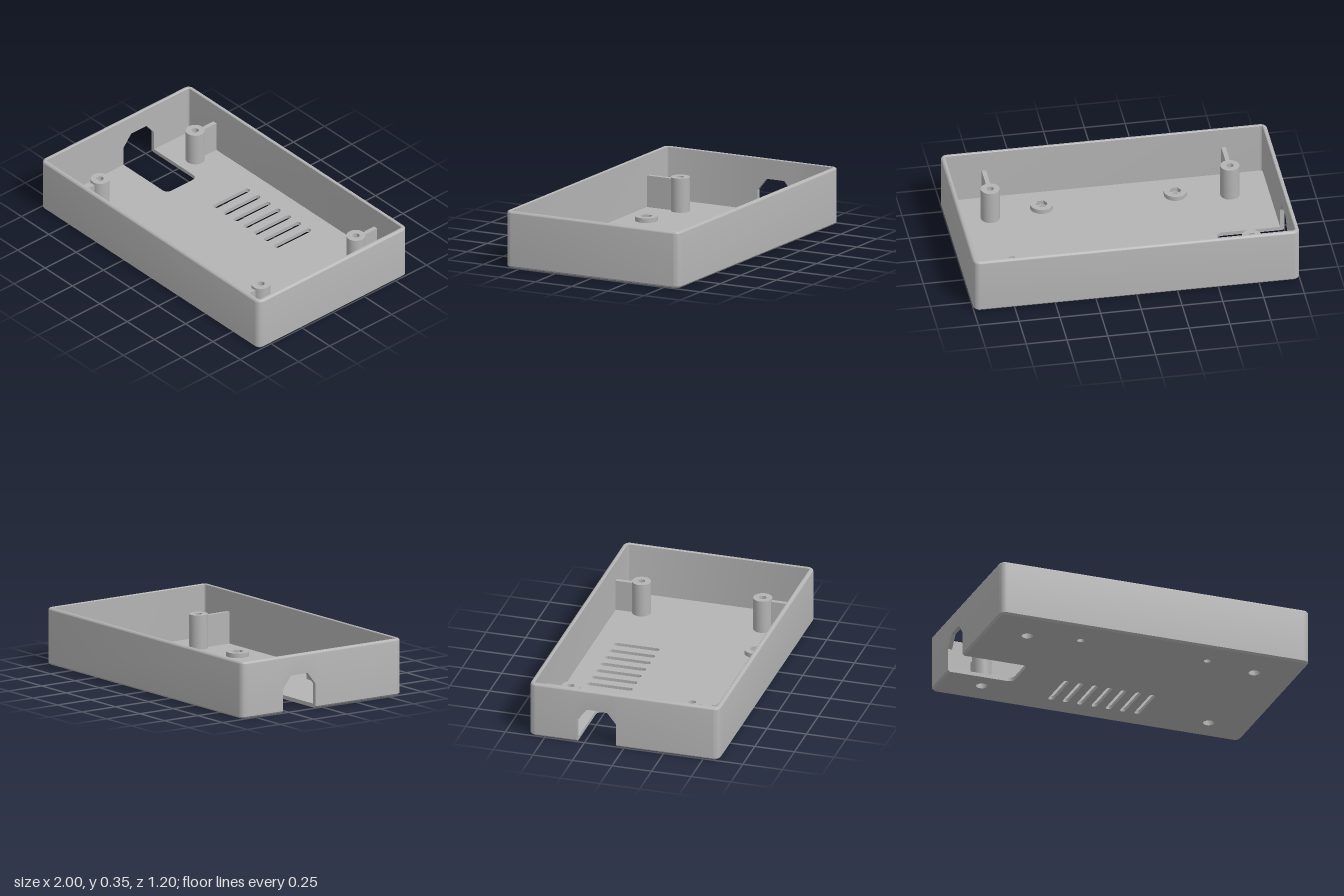
import * as THREE from 'three';
import { toCreasedNormals } from 'three/addons/utils/BufferGeometryUtils.js';

const H = 0.35, X = 1, Z = 0.6;          // height and half sizes
const R = 0.04, T = 0.026, FLOOR = 0.024; // corner radius, wall and floor thickness
const CUT = { z0: -0.295, z1: -0.05, x: -0.58, low: 0.15, top: 0.225, chamfer: 0.06 };

const plastic = new THREE.MeshStandardMaterial({ color: 0xb4b4b4 });
plastic.name = 'grey plastic';

function add(parent, name, geometry, x = 0, y = 0, z = 0) {
  const mesh = new THREE.Mesh(toCreasedNormals(geometry, 0.6), plastic);
  mesh.name = name;
  mesh.position.set(x, y, z);
  parent.add(mesh);
  return mesh;
}

// Extrude a plan shape (x, -z) upwards
function extrudeUp(shape, height) {
  const g = new THREE.ExtrudeGeometry(shape, { depth: height, bevelEnabled: false, curveSegments: 16 });
  return g.rotateX(-Math.PI / 2);
}

const circle = (x, z, r) => new THREE.Path().absarc(x, -z, r, 0, Math.PI * 2, true);

// Wall cross-section as [inset, height], starting at bottom edge b with chamfer c
function wallProfile(b, c) {
  const p = [[c, b], [0, b + c]];
  const f = 0.014;
  for (let i = 0; i <= 4; i++) {
    const a = (i / 4) * Math.PI / 2;
    p.push([f - f * Math.cos(a), H - f + f * Math.sin(a)]);
  }
  p.push([T - 0.004, H], [T, H - 0.004], [T, b], [c, b]);
  return p;
}

// Wall swept round the rounded rectangle, its lower edge rising over the side opening
function wallGeometry() {
  const stations = [];
  const station = (cx, cz, a, b, c) => stations.push({ cx, cz, a, profile: wallProfile(b, c) });
  const corner = (sx, sz, start) => {
    for (let i = 0; i <= 6; i++) {
      station(sx * (X - R), sz * (Z - R), start + (i / 6) * Math.PI / 2, 0, 0.012);
    }
  };
  corner(1, 1, 0);
  corner(-1, 1, Math.PI / 2);
  const { z0, z1, low, top, chamfer } = CUT;
  const edge = [[z1, 0, 0.012], [z1, low, 0], [z1 - chamfer, top, 0],
    [z0 + chamfer, top, 0], [z0, low, 0], [z0, 0, 0.012]];
  for (const [z, b, c] of edge) station(R - X, z, Math.PI, b, c);
  corner(-1, -1, Math.PI);
  corner(1, -1, Math.PI * 1.5);

  const positions = [], index = [];
  const n = stations[0].profile.length;
  for (const s of stations) {
    for (const [d, y] of s.profile) {
      positions.push(s.cx + Math.cos(s.a) * (R - d), y, s.cz + Math.sin(s.a) * (R - d));
    }
  }
  stations.forEach((s, i) => {
    const next = (i + 1) % stations.length;
    for (let j = 0; j < n - 1; j++) {
      const a = i * n + j, b = next * n + j;
      index.push(a, a + 1, b, b, a + 1, b + 1);
    }
  });
  const g = new THREE.BufferGeometry();
  g.setAttribute('position', new THREE.Float32BufferAttribute(positions, 3));
  g.setIndex(index);
  return g;
}

// Floor plate with side notch, vents and screw holes
function floorGeometry(posts, bosses) {
  const x = X - T, z = Z - T, r = R - T, q = 0.035;
  const s = new THREE.Shape();
  s.moveTo(-x + r, -z);
  s.lineTo(x - r, -z);
  s.absarc(x - r, -z + r, r, -Math.PI / 2, 0, false);
  s.absarc(x - r, z - r, r, 0, Math.PI / 2, false);
  s.absarc(-x + r, z - r, r, Math.PI / 2, Math.PI, false);
  s.lineTo(-x, -CUT.z0);
  s.lineTo(CUT.x - q, -CUT.z0);
  s.absarc(CUT.x - q, -CUT.z0 - q, q, Math.PI / 2, 0, true);
  s.absarc(CUT.x - q, -CUT.z1 + q, q, 0, -Math.PI / 2, true);
  s.lineTo(-x, -CUT.z1);
  s.absarc(-x + r, -z + r, r, Math.PI, Math.PI * 1.5, false);

  // Seven vent slots
  const w = 0.018;
  for (let i = -3; i <= 3; i++) {
    const slot = new THREE.Path();
    slot.absarc(i * 0.093, 0.45 - w, w, 0, Math.PI, false);
    slot.absarc(i * 0.093, 0.165 + w, w, Math.PI, Math.PI * 2, false);
    slot.closePath();
    s.holes.push(slot);
  }
  for (const [px, pz] of posts) s.holes.push(circle(px, pz, 0.035));
  for (const [bx, bz] of bosses) s.holes.push(circle(bx, bz, 0.022));
  return extrudeUp(s, FLOOR);
}

// Screw post, hollow from above and below
function postGeometry() {
  const profile = [[0, 0.1], [0.035, 0.1], [0.035, 0.01], [0.058, 0.01],
    [0.058, 0.235], [0.022, 0.235], [0.022, 0.13], [0, 0.13]];
  return new THREE.LatheGeometry(profile.map(([r, y]) => new THREE.Vector2(r, y)), 32);
}

// Low round boss with a hexagonal nut recess
function bossGeometry() {
  const s = new THREE.Shape().absarc(0, 0, 0.07, 0, Math.PI * 2, false);
  const hex = [];
  for (let i = 0; i < 6; i++) {
    const a = -i * Math.PI / 3;
    hex.push(new THREE.Vector2(Math.cos(a) * 0.037, Math.sin(a) * 0.037));
  }
  s.holes.push(new THREE.Path(hex));
  return extrudeUp(s, 0.052 - FLOOR);
}

export function createModel() {
  const model = new THREE.Group();
  model.name = 'enclosureBase';
  const posts = [[-0.735, -0.415], [0.735, -0.415], [-0.735, 0.35], [0.735, 0.35]];
  const bosses = [[-0.41, 0.405], [0.41, 0.405]];

  add(model, 'wall', wallGeometry());
  add(model, 'floor', floorGeometry(posts, bosses));

  // Posts, each tied to the nearest long wall by a rib
  for (const [x, z] of posts) {
    add(model, 'screwPost', postGeometry(), x, 0, z);
    const dir = Math.sign(z);
    const start = Math.abs(z) + 0.054, end = Z - T + 0.002;
    const rib = new THREE.BoxGeometry(0.027, 0.22 - 0.01, end - start);
    add(model, 'postRib', rib, x, 0.115, dir * (start + end) / 2);
  }
  for (const [x, z] of bosses) add(model, 'nutBoss', bossGeometry(), x, FLOOR, z);
  return model;
}
